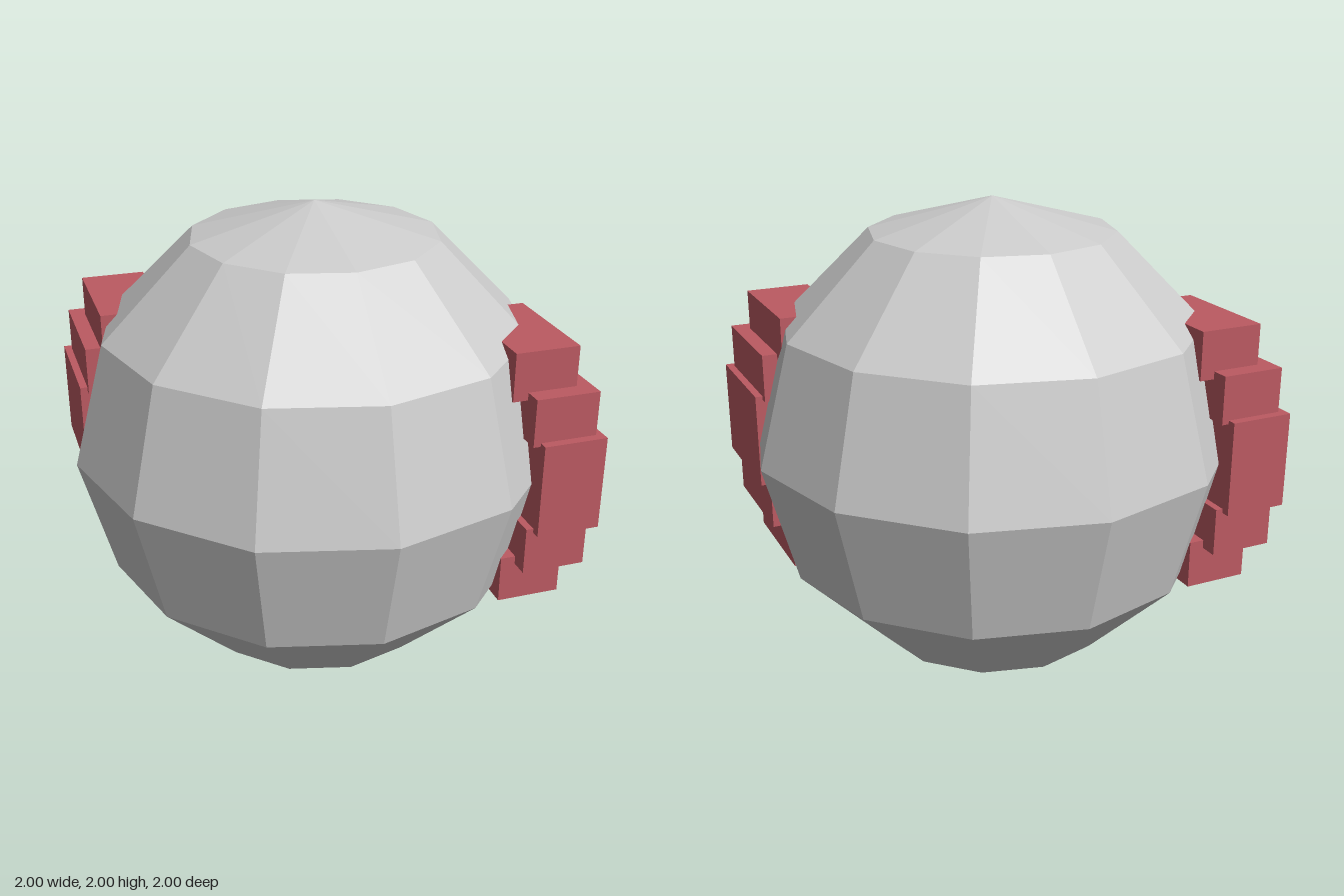
import * as THREE from 'three';

export function createModel() {
  const model = new THREE.Group();
  const grey = new THREE.MeshStandardMaterial({ color: 0xcccccc, flatShading: true });
  const red = new THREE.MeshStandardMaterial({ color: 0xbc5a62, flatShading: true });

  // Faceted ball: 12 sides, 6 rings
  const ball = new THREE.Mesh(new THREE.SphereGeometry(1, 12, 6), grey);
  ball.name = 'ball';
  ball.position.y = 1;
  model.add(ball);

  // Stepped column of blocks: [x, y from the ball's centre, z, height]
  const steps = [
    [0.702, -0.439, 0.433, 0.198],
    [0.764, -0.275, 0.507, 0.198],
    [0.794, 0.003, 0.544, 0.392],
    [0.764, 0.283, 0.507, 0.198],
    [0.702, 0.449, 0.433, 0.198],
  ];

  // The same column sits on opposite sides of the ball
  for (const [name, turn] of [['frontBlocks', 0], ['backBlocks', Math.PI]]) {
    const column = new THREE.Group();
    column.name = name;
    column.position.y = 1;
    column.rotation.y = turn;
    for (const [x, y, z, height] of steps) {
      const block = new THREE.Mesh(new THREE.BoxGeometry(0.265, height, 0.487), red);
      block.name = 'block';
      block.position.set(x, y, z);
      column.add(block);
    }
    model.add(column);
  }
  return model;
}
